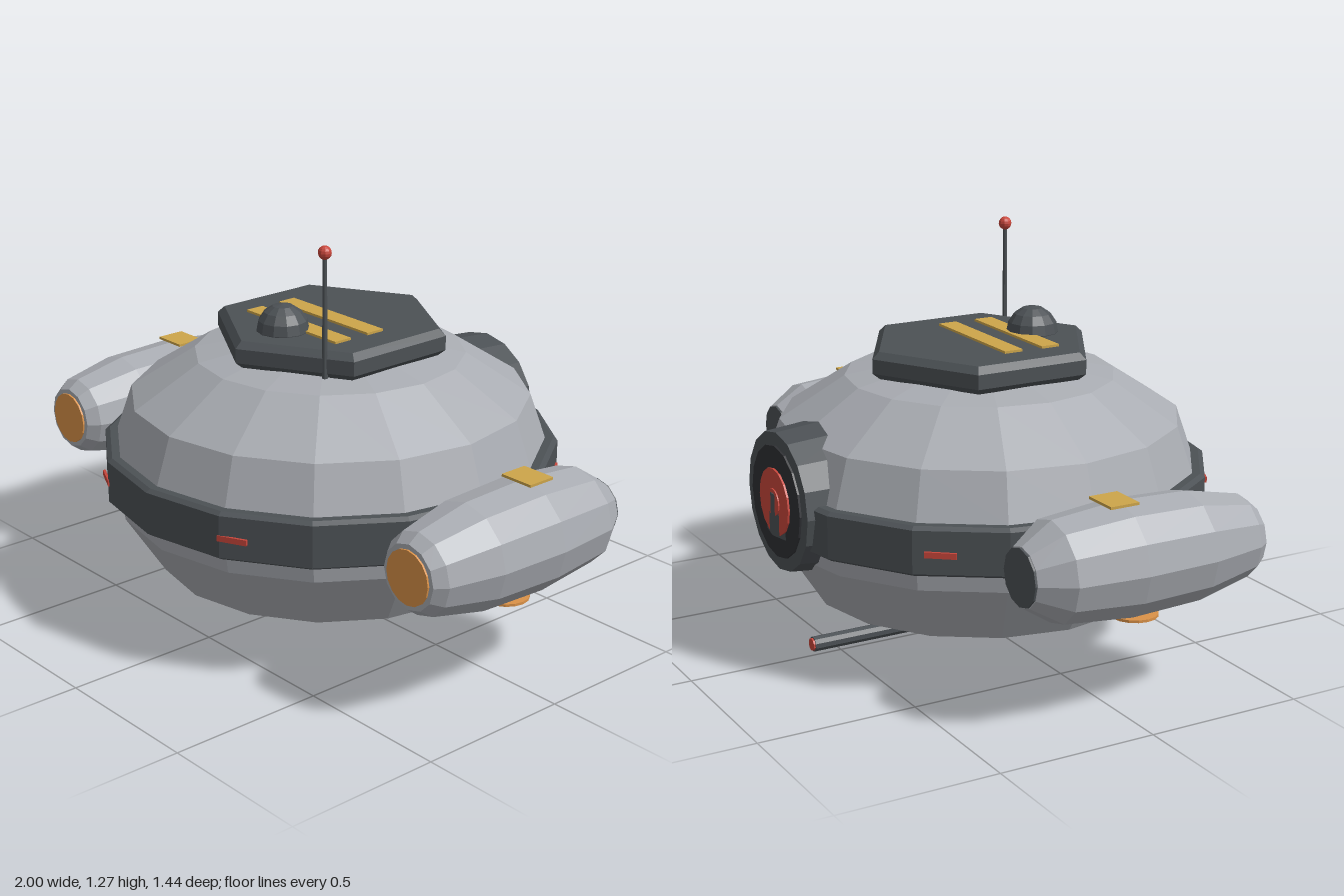
import * as THREE from 'three';

const mat = (name, color) => {
  const m = new THREE.MeshStandardMaterial({ color, flatShading: true });
  m.name = name;
  return m;
};

export function createModel() {
  const hullGrey = mat('hull grey', 0xa9acb2);
  const darkGrey = mat('dark grey', 0x4c5155);
  const black = mat('nozzle black', 0x2f3034);
  const red = mat('signal red', 0xc8463b);
  const yellow = mat('marking yellow', 0xcda54a);
  const orange = mat('glow orange', 0xdb9248);

  const model = new THREE.Group();
  const add = (name, geo, material, x = 0, y = 0, z = 0, parent = model) => {
    const mesh = new THREE.Mesh(geo, material);
    mesh.name = name;
    mesh.position.set(x, y, z);
    parent.add(mesh);
    return mesh;
  };
  // profile points are [radius, height], listed upwards
  const lathe = (pts, sides) =>
    new THREE.LatheGeometry(pts.map(([r, h]) => new THREE.Vector2(r, h)), sides);
  const disc = (r, h, sides = 16) => new THREE.CylinderGeometry(r, r, h, sides);

  // Main saucer hull and its belt
  add('hull', lathe([[0, 0.08], [0.295, 0.08], [0.547, 0.16], [0.67, 0.35], [0.68, 0.41],
    [0.68, 0.56], [0.63, 0.705], [0.425, 0.838], [0.31, 0.86], [0, 0.865]], 16), hullGrey);
  add('belt', lathe([[0.66, 0.408], [0.705, 0.408], [0.72, 0.418], [0.72, 0.55],
    [0.705, 0.56], [0.66, 0.56]], 16), darkGrey);

  // Red lamps around the belt
  for (const side of [-1, 1]) {
    for (const angle of [0.45, Math.PI - 0.9]) {
      const a = side * angle;
      const lamp = add('beltLamp', new THREE.BoxGeometry(0.095, 0.018, 0.008), red,
        0.717 * Math.sin(a), 0.48, 0.717 * Math.cos(a));
      lamp.rotation.y = a;
    }
  }

  // Hexagonal roof hatch with stripes, dome and aerial
  add('roofHatch', lathe([[0, 0.857], [0.35, 0.857], [0.375, 0.877], [0.375, 0.922],
    [0.352, 0.943], [0, 0.943]], 6), darkGrey);
  for (const z of [0, 0.13]) {
    add('roofStripe', new THREE.BoxGeometry(0.42, 0.009, 0.062), yellow, 0, 0.946, z);
  }
  add('sensorDome', new THREE.SphereGeometry(0.082, 12, 8), darkGrey, 0, 0.945, 0.19);
  add('aerial', new THREE.CylinderGeometry(0.006, 0.009, 0.39, 8), darkGrey, 0.242, 1.055, 0.23);
  add('aerialTip', new THREE.SphereGeometry(0.021, 10, 8), red, 0.242, 1.247, 0.23);

  // Side pods
  for (const side of [-1, 1]) {
    const pod = new THREE.Group();
    pod.name = side > 0 ? 'leftPod' : 'rightPod';
    pod.position.set(side * 0.827, 0.48, 0);
    model.add(pod);
    const shell = add('podShell', lathe([[0, -0.335], [0.09, -0.335], [0.152, -0.24],
      [0.173, -0.02], [0.165, 0.215], [0.127, 0.395], [0.1, 0.432], [0, 0.432]], 12),
    hullGrey, 0, 0, 0, pod);
    shell.rotation.x = Math.PI / 2;
    const lamp = add('podLamp', disc(0.084, 0.008), orange, 0, 0, 0.434, pod);
    lamp.rotation.x = Math.PI / 2;
    const cap = add('podRearCap', disc(0.087, 0.008, 12), darkGrey, 0, 0, -0.337, pod);
    cap.rotation.x = Math.PI / 2;
    add('podTopMarking', new THREE.BoxGeometry(0.114, 0.008, 0.094), yellow, 0, 0.175, -0.034, pod);
    add('podLowerLamp', disc(0.072, 0.008), orange, 0, -0.177, 0.042, pod);
  }

  // Rear engine, built along its axis and turned to face backwards
  const engine = new THREE.Group();
  engine.name = 'rearEngine';
  engine.position.set(0, 0.522, 0);
  engine.rotation.x = -Math.PI / 2;
  model.add(engine);
  add('engineHousing', lathe([[0, 0.5], [0.235, 0.5], [0.216, 0.7], [0, 0.7]], 16),
    darkGrey, 0, 0, 0, engine);
  add('engineNozzle', disc(0.175, 0.009), black, 0, 0.702, 0, engine);
  add('engineGlow', disc(0.105, 0.008), red, 0, 0.709, 0, engine);
  add('engineCore', disc(0.043, 0.006), red, 0, 0.714, 0, engine);

  // Belly turret with a barrel pointing backwards
  add('turret', new THREE.CylinderGeometry(0.14, 0.112, 0.09, 12), darkGrey, 0, 0.045, 0);
  const barrel = add('turretBarrel', disc(0.024, 0.54, 10), darkGrey, 0, 0.037, -0.325);
  barrel.rotation.x = Math.PI / 2;
  const tip = add('barrelTip', disc(0.02, 0.008, 10), red, 0, 0.037, -0.597);
  tip.rotation.x = Math.PI / 2;

  return model;
}
